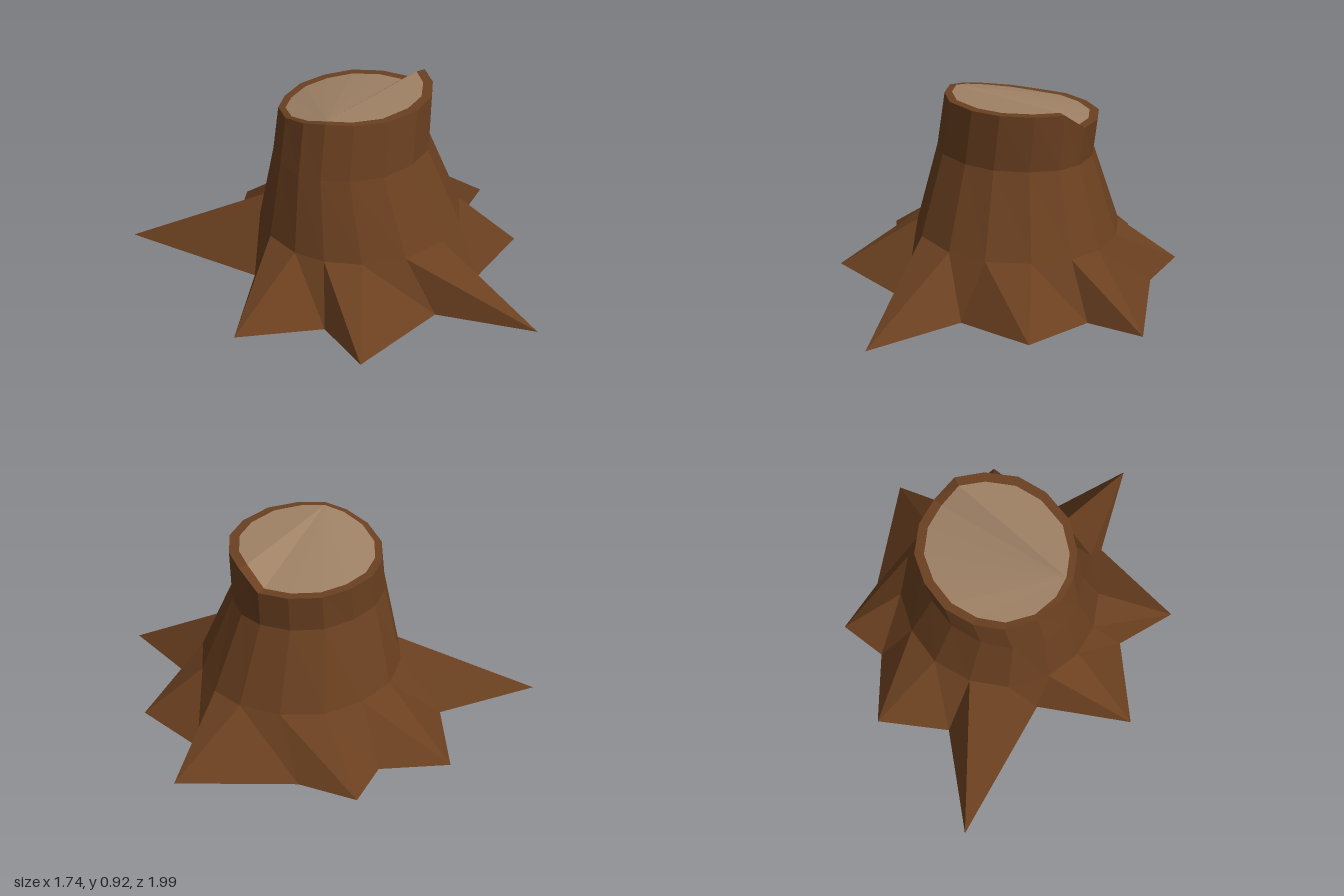
import * as THREE from 'three';

const N = 16;

// Root outline on the ground [x, y, z]: tips and valleys alternate
const outline = [
  [-0.62, 0.04, -1.0], [-0.22, 0.02, -0.68], [0.08, 0.0, -0.88], [0.3, 0.02, -0.62],
  [0.54, 0.03, -0.64], [0.58, 0.02, -0.36], [0.87, 0.02, 0.12], [0.61, 0.02, 0.18],
  [0.56, 0.04, 0.53], [0.18, 0.02, 0.55], [0.03, 0.01, 0.99], [-0.17, 0.02, 0.56],
  [-0.67, 0.035, 0.52], [-0.57, 0.02, 0.23], [-0.87, 0.02, -0.05], [-0.47, 0.02, -0.3],
];

// Collar where the roots meet the trunk [x, z]
const collarXZ = [
  [-0.34, -0.37], [-0.18, -0.47], [0.01, -0.51], [0.2, -0.47], [0.37, -0.37], [0.48, -0.2],
  [0.52, -0.01], [0.49, 0.15], [0.38, 0.3], [0.21, 0.42], [0.02, 0.455], [-0.2, 0.41],
  [-0.36, 0.28], [-0.45, 0.13], [-0.48, -0.02], [-0.45, -0.2],
];
const collar = collarXZ.map(([x, z]) => [x, 0.285, z]);

// Collar shape rescaled to a new centre and half-size
const ring = (cx, cz, rx, rz, height) => collarXZ.map(([x, z], i) =>
  [cx + (x - 0.02) / 0.5 * rx, height(i), cz + (z + 0.028) / 0.483 * rz]);

// The cut is high at the front, stepped on one side and ramped on the other
const cutHeight = (i) => {
  if (i >= 7 && i <= 13) return 0.92;
  return { 14: 0.9, 15: 0.875, 0: 0.853 }[i] ?? 0.84;
};

const waist = ring(-0.015, -0.05, 0.395, 0.35, () => 0.66);
const rimOuter = ring(0.02, -0.055, 0.38, 0.345, cutHeight);
const rimInner = ring(0.012, -0.057, 0.343, 0.303, cutHeight);

// Band of quads between two rings
function band(lower, upper) {
  const out = [];
  for (let i = 0; i < N; i++) {
    const j = (i + 1) % N;
    out.push(lower[i], upper[i], upper[j], lower[i], upper[j], lower[j]);
  }
  return out;
}

function mesh(name, corners, color) {
  const geometry = new THREE.BufferGeometry();
  geometry.setAttribute('position', new THREE.Float32BufferAttribute(corners.flat(), 3));
  geometry.computeVertexNormals();
  const m = new THREE.Mesh(geometry, new THREE.MeshStandardMaterial({ color, flatShading: true }));
  m.name = name;
  return m;
}

export function createModel() {
  const group = new THREE.Group();
  group.name = 'treeStump';
  const bark = 0x6b4020, wood = 0x9f8266;

  // Roots, trunk and bark rim
  group.add(mesh('roots', band(outline, collar), bark));
  group.add(mesh('trunk', [...band(collar, waist), ...band(waist, rimOuter)], bark));
  group.add(mesh('barkRim', band(rimOuter, rimInner), bark));

  // Underside
  const under = [];
  for (let i = 0; i < N; i++) under.push([0, 0.02, 0], outline[i], outline[(i + 1) % N]);
  group.add(mesh('underside', under, bark));

  // Cut wood, fanned from the high corner beside the ramp
  const cut = [];
  for (let k = 1; k < N - 1; k++) {
    cut.push(rimInner[13], rimInner[(14 + k) % N], rimInner[(13 + k) % N]);
  }
  group.add(mesh('cutWood', cut, wood));

  return group;
}
